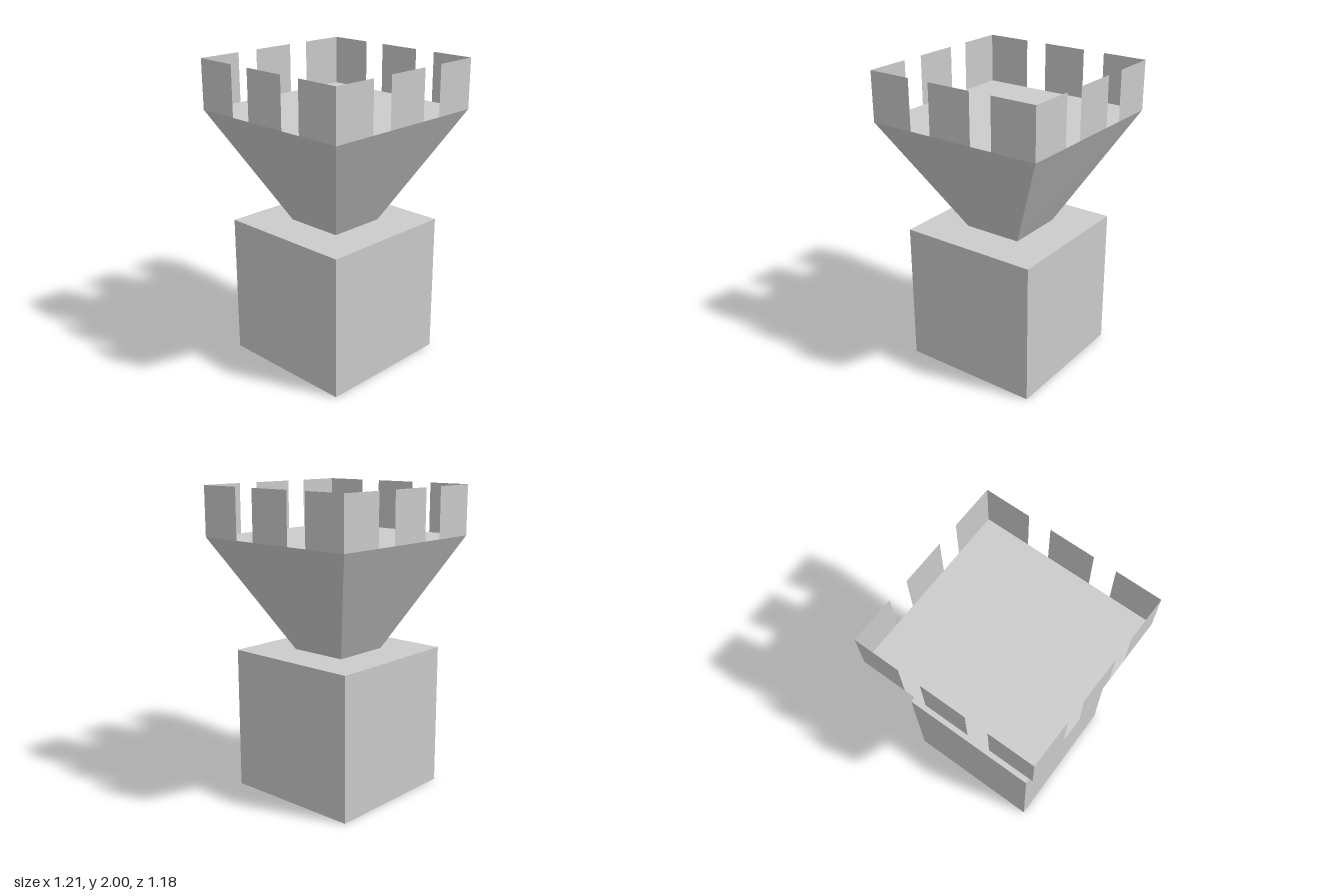
import * as THREE from 'three';

// Flat-shaded mesh from four-cornered faces, corners counter-clockwise from outside
function quadMesh(name, quads, material) {
  const points = quads.flatMap(([a, b, c, d]) => [a, b, c, a, c, d]);
  const geometry = new THREE.BufferGeometry().setFromPoints(points);
  geometry.computeVertexNormals();
  const mesh = new THREE.Mesh(geometry, material);
  mesh.name = name;
  return mesh;
}

export function createModel() {
  const group = new THREE.Group();
  group.name = 'tower';
  const solid = new THREE.MeshStandardMaterial({ color: 0xcccccc, flatShading: true });
  const thin = new THREE.MeshStandardMaterial({ color: 0xcccccc, flatShading: true, side: THREE.DoubleSide });

  const baseTop = 0.936, deckY = 1.675, wallTop = 2;

  // Cube base
  const base = new THREE.Mesh(new THREE.BoxGeometry(0.934, baseTop, 0.934), solid);
  base.position.set(-0.01, baseTop / 2, -0.005);
  base.name = 'base';
  group.add(base);

  // Flared head: small square below, slightly skewed square deck above
  const ring = (xz, y) => xz.map(([x, z]) => new THREE.Vector3(x, y, z));
  const foot = ring([[-0.205, 0.194], [0.188, 0.194], [0.19, -0.204], [-0.203, -0.204]], baseTop);
  const deck = ring([[-0.606, 0.588], [0.587, 0.588], [0.604, -0.59], [-0.589, -0.59]], deckY);
  const flare = foot.map((p, i) => {
    const j = (i + 1) % 4;
    return [p, foot[j], deck[j], deck[i]];
  });
  group.add(quadMesh('flaredHead', flare, solid));
  group.add(quadMesh('deck', [deck], solid));

  // Thin battlements: three per side, a quarter of the side wide
  const battlements = new THREE.Group();
  battlements.name = 'battlements';
  const rise = new THREE.Vector3(0, wallTop - deckY, 0);
  deck.forEach((start, i) => {
    const end = deck[(i + 1) % 4];
    for (const t of [0, 0.375, 0.75]) {
      const a = start.clone().lerp(end, t);
      const b = start.clone().lerp(end, t + 0.25);
      battlements.add(quadMesh('battlement', [[a, b, b.clone().add(rise), a.clone().add(rise)]], thin));
    }
  });
  group.add(battlements);

  return group;
}
